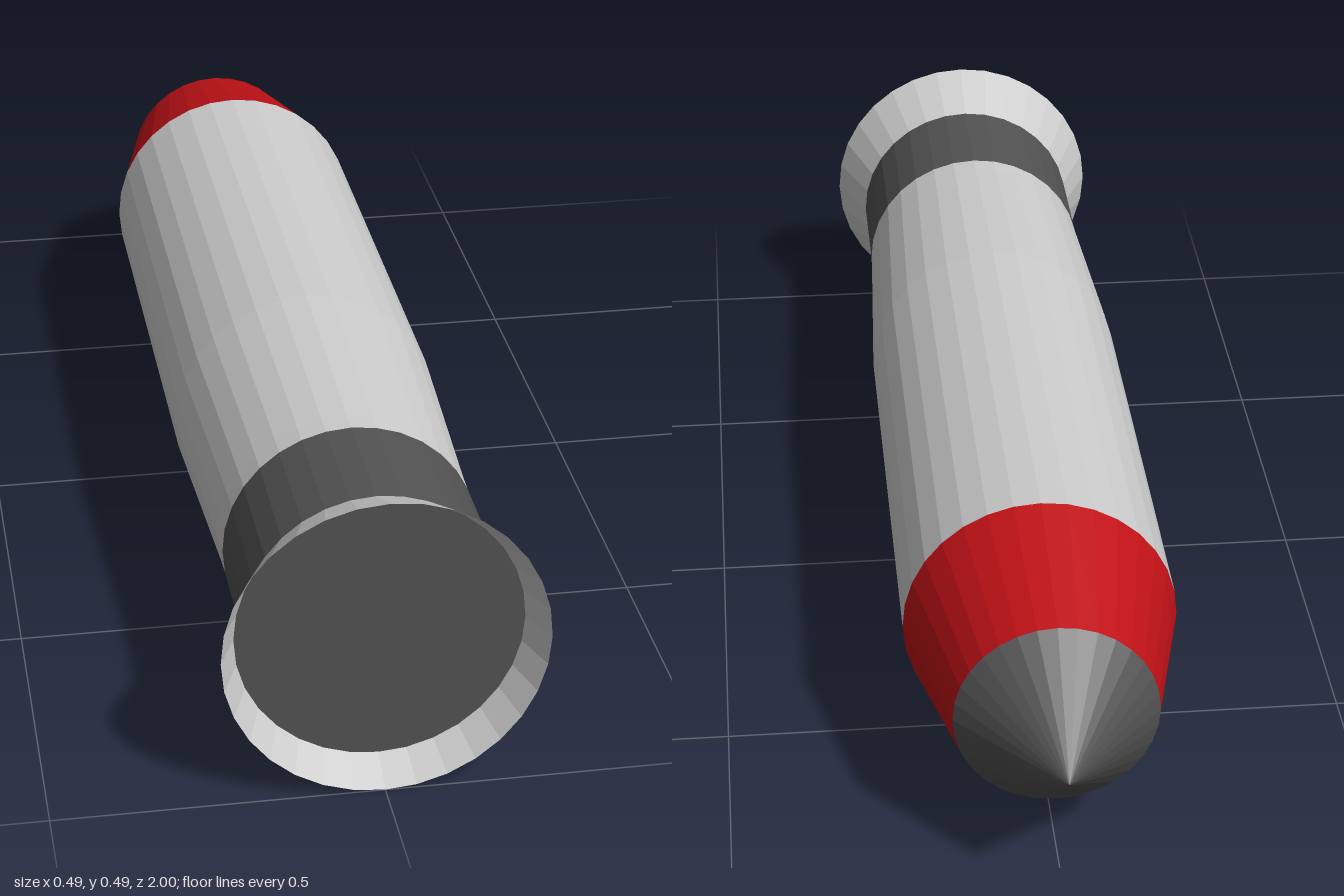
import * as THREE from 'three';

const SIDES = 32;
const AXIS_HEIGHT = 0.245;

const material = (color, side = THREE.FrontSide) =>
  new THREE.MeshStandardMaterial({ color, side, flatShading: true });

// Surface of revolution about the z axis; profile is [z, radius] from back to front
function turned(name, profile, mat) {
  const points = profile.map(([z, r]) => new THREE.Vector2(r, z));
  const geometry = new THREE.LatheGeometry(points, SIDES);
  geometry.rotateX(Math.PI / 2);
  const mesh = new THREE.Mesh(geometry, mat);
  mesh.name = name;
  mesh.position.y = AXIS_HEIGHT;
  return mesh;
}

export function createModel() {
  const grey = material(0xcccccc);
  const dark = material(0x525252);
  const red = material(0xbf1116);
  const openGrey = material(0xcccccc, THREE.DoubleSide);

  const group = new THREE.Group();
  group.name = 'projectile';
  group.add(
    // Pointed tip and coloured shoulder
    turned('noseTip', [[-1, 0], [-0.825, 0.158]], dark),
    turned('noseBand', [[-0.825, 0.158], [-0.57, 0.217]], red),
    // Straight casing that narrows towards the tail
    turned('body', [[-0.57, 0.217], [0.27, 0.217], [0.65, 0.199], [0.685, 0.198]], grey),
    turned('tailBand', [[0.685, 0.198], [0.895, 0.198]], dark),
    // Open flare with a recessed end plate
    turned('tailFlare', [[0.895, 0.198], [1, 0.245]], openGrey),
    turned('endPlate', [[0.94, 0.218], [0.94, 0]], dark),
  );
  return group;
}
